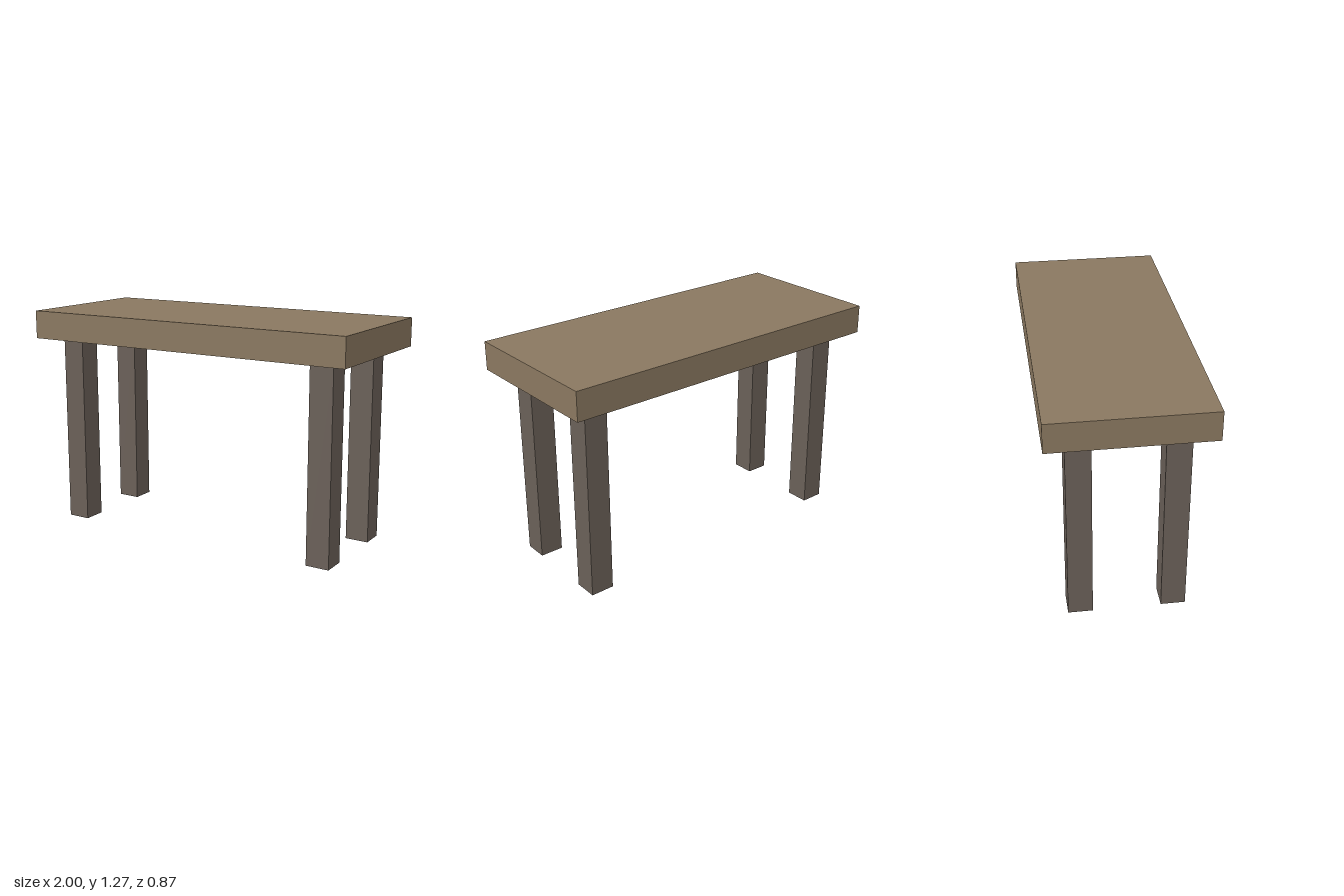
import * as THREE from 'three';

const TOP = { width: 2, height: 0.163, depth: 0.873 };
const LEG = { size: 0.135, height: 1.111, x: 0.817, z: 0.255 };

export function createModel() {
  const table = new THREE.Group();
  table.name = 'table';

  const topMaterial = new THREE.MeshStandardMaterial({ color: 0x8a7860 });
  const legMaterial = new THREE.MeshStandardMaterial({ color: 0x6a6058 });

  // Thick slab top
  const top = new THREE.Mesh(new THREE.BoxGeometry(TOP.width, TOP.height, TOP.depth), topMaterial);
  top.name = 'tableTop';
  top.position.y = LEG.height + TOP.height / 2;
  table.add(top);

  // Four square legs, mirrored left/right and front/back
  const legGeometry = new THREE.BoxGeometry(LEG.size, LEG.height, LEG.size);
  for (const [endName, sz] of [['front', 1], ['back', -1]]) {
    for (const [sideName, sx] of [['Left', 1], ['Right', -1]]) {
      const leg = new THREE.Mesh(legGeometry, legMaterial);
      leg.name = `${endName}${sideName}Leg`;
      leg.position.set(sx * LEG.x, LEG.height / 2, sz * LEG.z);
      table.add(leg);
    }
  }
  return table;
}
